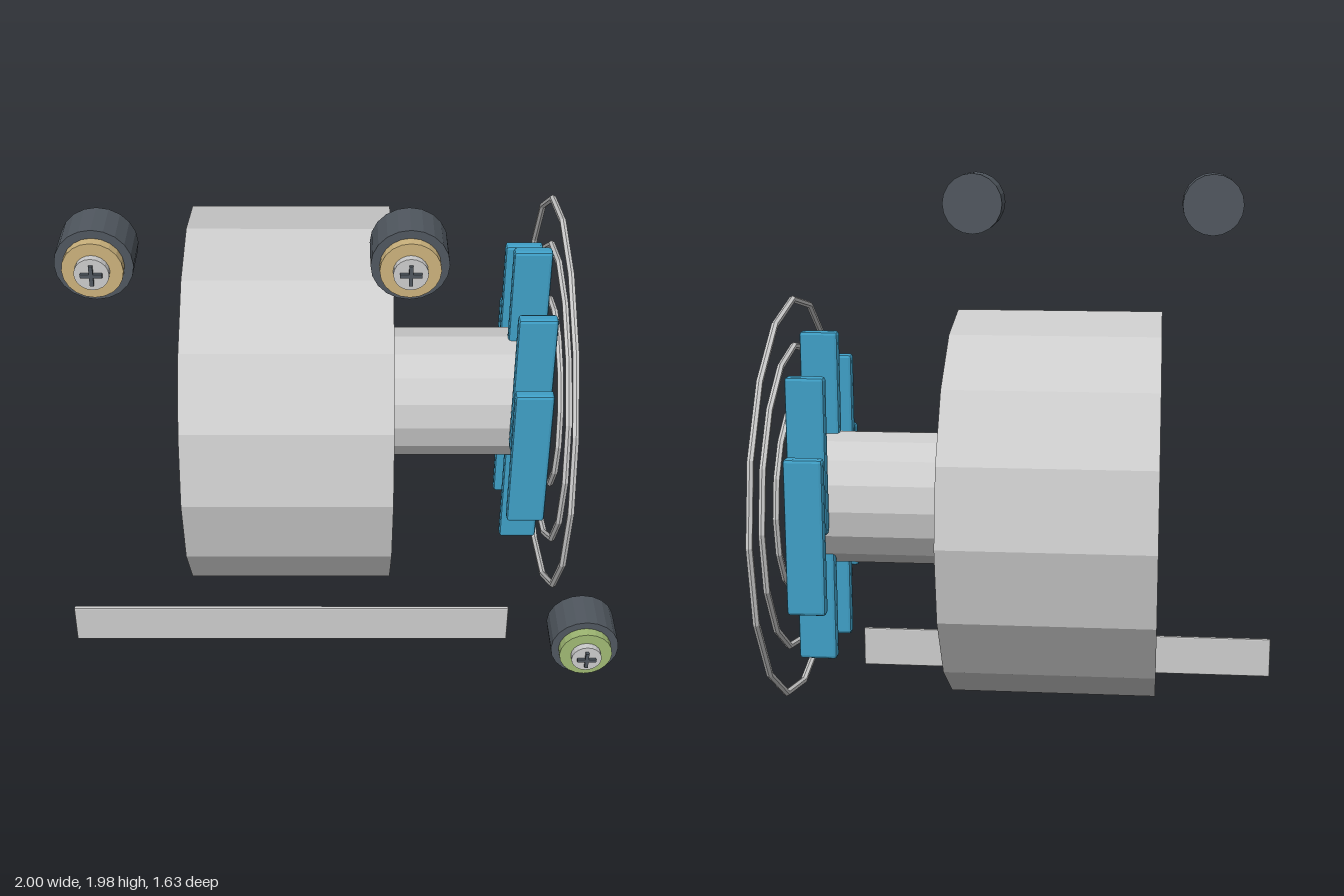
import * as THREE from 'three';
import { RoundedBoxGeometry } from 'three/addons/geometries/RoundedBoxGeometry.js';

const AXIS_Y = 0.83, AXIS_Z = -0.075; // shared axis of motor, blades and guard

const mat = (color) => new THREE.MeshStandardMaterial({ color, flatShading: true });
const grey = mat(0xcccccc);
const blue = mat(0x3f9fc6);
const dark = mat(0x50575f);
const tan = mat(0xcbb27c);
const green = mat(0x9fb873);

function add(parent, name, geometry, material, x = 0, y = 0, z = 0) {
  const mesh = new THREE.Mesh(geometry, material);
  mesh.name = name;
  mesh.position.set(x, y, z);
  parent.add(mesh);
  return mesh;
}

// cylinder lying along x, from x0 to x1
function xCylinder(parent, name, radius, x0, x1) {
  const g = new THREE.CylinderGeometry(radius, radius, x1 - x0, 16).rotateZ(Math.PI / 2);
  return add(parent, name, g, grey, (x0 + x1) / 2, AXIS_Y, AXIS_Z);
}

// disc facing +z, from z0 to z1
function zDisc(parent, name, radius, z0, z1, material) {
  const g = new THREE.CylinderGeometry(radius, radius, z1 - z0, 20).rotateX(Math.PI / 2);
  return add(parent, name, g, material, 0, 0, (z0 + z1) / 2);
}

// stepped round fixing with a cross recess on its cap
function createKnob(x, y, collarMaterial) {
  const knob = new THREE.Group();
  knob.name = 'knob';
  zDisc(knob, 'knobBody', 0.12, 0.605, 0.747, dark);
  zDisc(knob, 'knobCollar', 0.093, 0.74, 0.78, collarMaterial);
  zDisc(knob, 'knobCap', 0.053, 0.77, 0.803, grey);
  add(knob, 'crossBar', new THREE.BoxGeometry(0.066, 0.012, 0.02), dark, 0, 0, 0.804);
  add(knob, 'crossPost', new THREE.BoxGeometry(0.012, 0.066, 0.02), dark, 0, 0, 0.804);
  knob.position.set(x, y, 0);
  return knob;
}

export function createModel() {
  const model = new THREE.Group();
  model.name = 'fan';

  // motor drum and shaft
  xCylinder(model, 'motorDrum', 0.70, -0.54, 0.19);
  xCylinder(model, 'shaft', 0.245, 0.18, 0.695);

  // seven upright blades spaced around the axis
  const blades = new THREE.Group();
  blades.name = 'blades';
  const bladeGeometry = new RoundedBoxGeometry(0.14, 0.57, 0.048, 1, 0.012);
  for (let i = 0; i < 7; i++) {
    const a = (i / 7) * Math.PI * 2;
    add(blades, 'blade', bladeGeometry, blue, 0.70,
      AXIS_Y + 0.33 * Math.cos(a), AXIS_Z + 0.33 * Math.sin(a));
  }
  model.add(blades);

  // concentric guard rings
  const guard = new THREE.Group();
  guard.name = 'guard';
  for (const r of [0.353, 0.56, 0.73]) {
    const g = new THREE.TorusGeometry(r, 0.0125, 6, 16).rotateY(Math.PI / 2);
    add(guard, 'guardRing', g, grey, 0.795, AXIS_Y, AXIS_Z);
  }
  model.add(guard);

  // thin plain plate in front of the motor
  add(model, 'frontPlate', new RoundedBoxGeometry(1.645, 0.157, 0.016, 1, 0.005),
    grey, -0.1775, 0.0785, 0.395);

  // fixings: two at the top, one low on the left
  model.add(
    createKnob(-0.735, 1.862, tan),
    createKnob(0.217, 1.862, tan),
    createKnob(0.877, 0.287, green),
  );
  return model;
}
